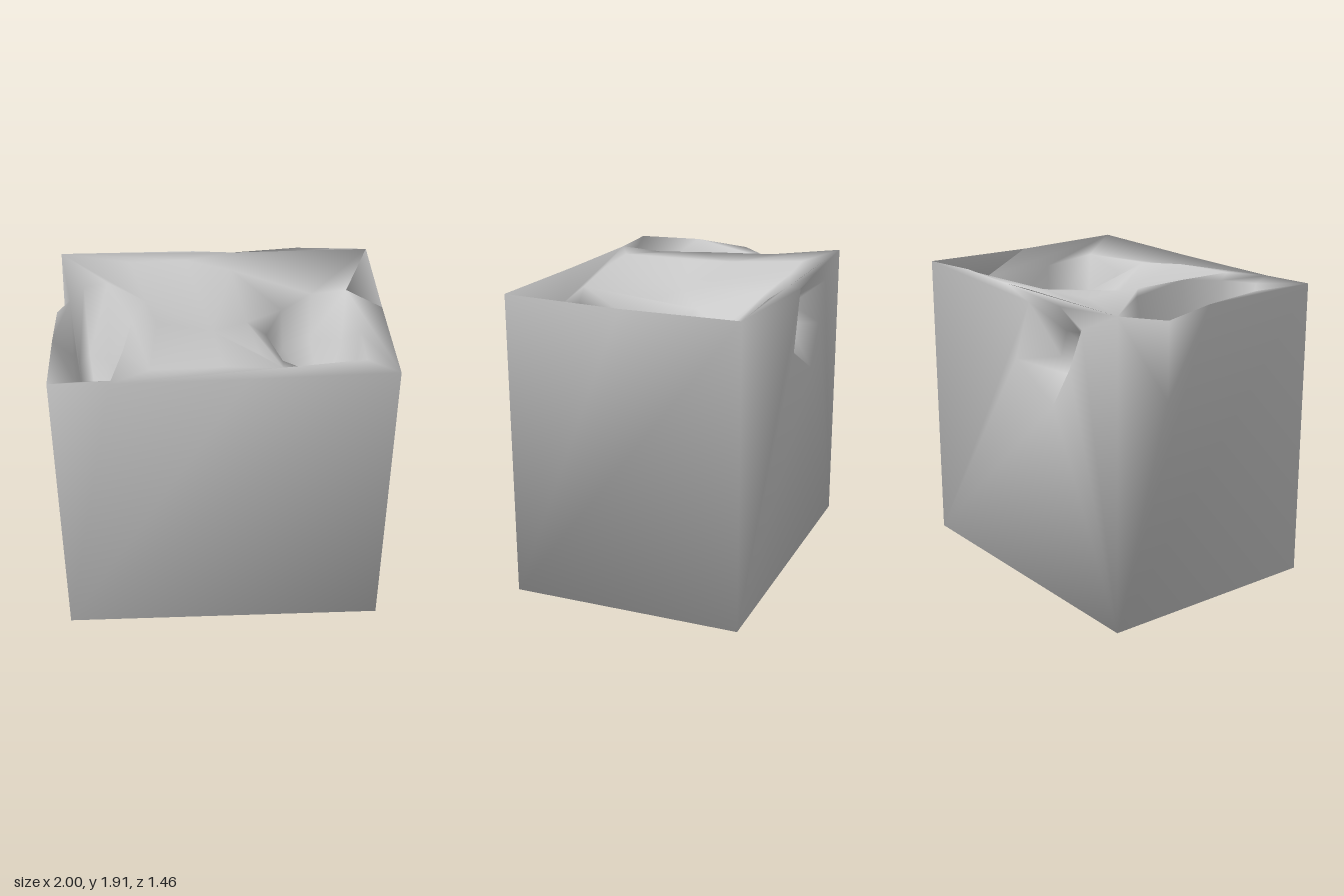
import * as THREE from 'three';

export function createModel() {
  const points = [];
  const faces = [];

  // Adds a loop of points and returns their indices
  const add = (loop) => loop.map((p) => points.push(p) - 1);

  // Fills a loop, leaving out the holes; project gives the 2D view from outside
  const fill = (outer, holes, project) => {
    const flat = (loop) => loop.map((i) => new THREE.Vector2(...project(...points[i])));
    const ids = [outer, ...holes].flat();
    const p2 = flat(ids);
    for (const [a, b, c] of THREE.ShapeUtils.triangulateShape(flat(outer), holes.map(flat))) {
      const area = (p2[b].x - p2[a].x) * (p2[c].y - p2[a].y) - (p2[c].x - p2[a].x) * (p2[b].y - p2[a].y);
      faces.push(ids[a], ids[area > 0 ? b : c], ids[area > 0 ? c : b]);
    }
  };

  // Joins two loops of equal length
  const band = (a, b) => a.forEach((p, i) => {
    const j = (i + 1) % a.length;
    faces.push(p, a[j], b[j], p, b[j], b[i]);
  });

  // Closes a loop with a fan to one point
  const fan = (loop, centre) => {
    const [c] = add([centre]);
    loop.forEach((p, i) => faces.push(p, loop[(i + 1) % loop.length], c));
  };

  // Sinks a hollow: the rim drawn in towards a centre, then a floor
  const hollow = (rim, centre, scale, floor) => {
    const inner = add(rim.map((i) => points[i].map((v, k) => centre[k] + (v - centre[k]) * scale[k])));
    band(rim, inner);
    fan(inner, floor);
  };

  // Uneven top edge: front, right, back, then the notched left side
  const front = add([[-1, 1.89, 0.73], [-0.65, 1.88, 0.73], [0.14, 1.89, 0.73], [1, 1.91, 0.73]]);
  const right = add([[1, 1.89, 0]]);
  const back = add([[1, 1.89, -0.73], [0.54, 1.91, -0.73], [0.12, 1.89, -0.72], [-0.14, 1.9, -0.73], [-1, 1.9, -0.73]]);
  const left = add([[-0.98, 1.34, -0.35], [-0.99, 1.87, -0.06], [-0.995, 1.9, 0.3]]);
  const [bfl, bfr, bbr, bbl] = add([[-1, 0, 0.73], [1, 0, 0.73], [1, 0, -0.73], [-1, 0, -0.73]]);

  // Hollow rims, counter-clockwise from outside
  const leftRim = add([[-0.53, 1.91, 0.13], [-0.69, 1.9, -0.35], [-0.85, 1.8, -0.47], [-0.93, 1.8, -0.31],
    [-0.89, 1.62, 0], [-0.89, 1.72, 0.2], [-0.86, 1.74, 0.5], [-0.64, 1.84, 0.64], [-0.58, 1.88, 0.4]]);
  const rightRim = add([[0.86, 1.78, 0.1], [0.84, 1.76, -0.43], [0.62, 1.7, -0.49], [0.42, 1.65, -0.38],
    [0.3, 1.65, -0.09], [0.38, 1.65, 0.2], [0.56, 1.74, 0.48], [0.85, 1.82, 0.46]]);
  const middleRim = add([[0.18, 1.71, -0.15], [0.1, 1.84, -0.58], [-0.2, 1.89, -0.63], [-0.55, 1.9, -0.6],
    [-0.45, 1.88, -0.15], [-0.38, 1.88, 0.1], [-0.42, 1.88, 0.6], [0, 1.87, 0.57], [0.35, 1.83, 0.54], [0.24, 1.7, 0.2]]);
  const backRim = add([[-0.67, 1.76, -0.73], [-0.45, 1.85, -0.72], [-0.13, 1.82, -0.72],
    [0.01, 1.44, -0.73], [-0.38, 1.24, -0.73], [-0.55, 1.5, -0.73]]);

  // Sagging top with its two deep hollows and the shallow middle
  fill([...front, ...right, ...back, ...left], [leftRim, rightRim, middleRim], (x, y, z) => [x, -z]);
  hollow(leftRim, [-0.77, 1.27, 0.06], [0.8, 0.15, 0.8], [-0.77, 1.2, 0.1]);
  hollow(rightRim, [0.63, 1.3, -0.02], [0.93, 0.2, 0.92], [0.66, 1.2, 0.1]);
  fan(middleRim, [-0.04, 1.77, 0.04]);

  // Walls and underside
  fill([bfl, bfr, ...[...front].reverse()], [], (x, y) => [x, y]);
  fill([bfr, bbr, back[0], right[0], front[3]], [], (x, y, z) => [-z, y]);
  fill([bbl, bfl, front[0], ...[...left].reverse(), back[4]], [], (x, y, z) => [z, y]);
  fill([bbr, bbl, ...[...back].reverse()], [backRim], (x, y) => [-x, y]);
  fill([bfl, bfr, bbr, bbl], [], (x, y, z) => [x, z]);

  // Dent in the back wall
  hollow(backRim, [-0.38, 1.5, -0.5], [0.45, 0.45, 0.2], [-0.42, 1.47, -0.38]);

  const geometry = new THREE.BufferGeometry();
  geometry.setAttribute('position', new THREE.Float32BufferAttribute(points.flat(), 3));
  geometry.setIndex(faces);
  geometry.computeVertexNormals();

  const block = new THREE.Mesh(geometry, new THREE.MeshStandardMaterial({ color: 0xcccccc, side: THREE.DoubleSide }));
  block.name = 'hollowedBlock';
  const model = new THREE.Group();
  model.name = 'block';
  model.add(block);
  return model;
}
